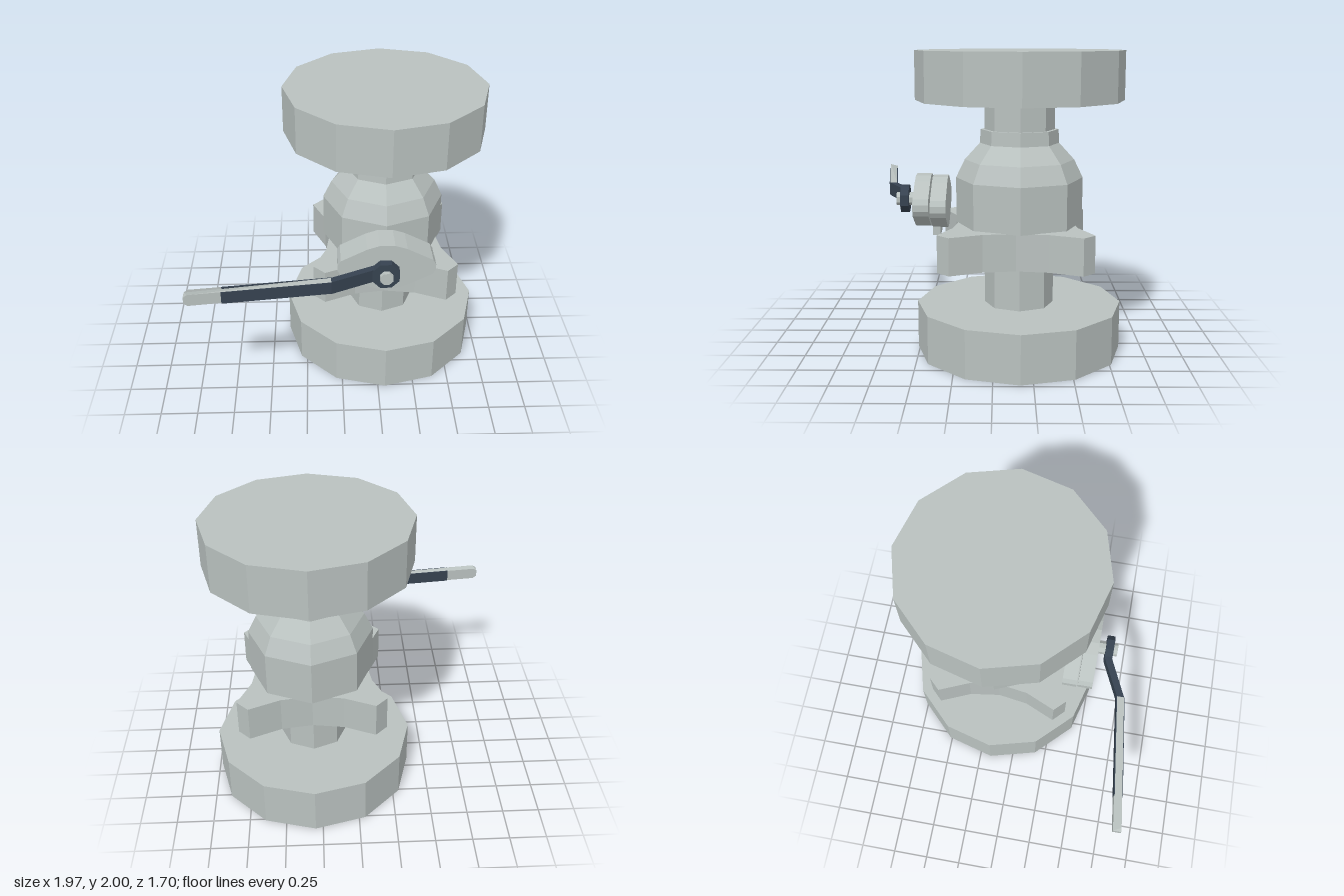
import * as THREE from 'three';

const steel = new THREE.MeshStandardMaterial({ color: 0xb9c1bf });
steel.name = 'pale steel';
const grip = new THREE.MeshStandardMaterial({ color: 0x364250 });
grip.name = 'dark blue grip';

const CX = 0.3, CZ = -0.17; // pipe axis

// faceted normals baked into the geometry
function facet(geo) {
  const g = geo.index ? geo.toNonIndexed() : geo;
  g.computeVertexNormals();
  return g;
}

// faceted solid of revolution about the pipe axis, profile of [radius, y]
function turned(profile, sides) {
  const g = new THREE.LatheGeometry(profile.map(p => new THREE.Vector2(p[0], p[1])), sides);
  return facet(g.translate(CX, 0, CZ));
}

function extrude(points, depth) {
  const shape = new THREE.Shape(points.map(p => new THREE.Vector2(p[0], p[1])));
  return new THREE.ExtrudeGeometry(shape, { depth, bevelEnabled: false });
}

// outline in [x, z], raised from y0 to y1
function slab(points, y0, y1) {
  return extrude(points, y1 - y0).rotateX(Math.PI / 2).translate(0, y1, 0);
}

// short cylinder along z
function disc(r, sides, x, y, z0, z1) {
  const g = new THREE.CylinderGeometry(r, r, z1 - z0, sides);
  g.rotateY(Math.PI / sides).rotateX(Math.PI / 2).translate(x, y, (z0 + z1) / 2);
  return facet(g);
}

export function createModel() {
  const model = new THREE.Group();
  model.name = 'ballValve';
  const add = (name, geo, mat = steel) => {
    const mesh = new THREE.Mesh(geo, mat);
    mesh.name = name;
    model.add(mesh);
  };

  // end flanges
  for (const [name, y0, y1] of [['bottomFlange', 0, 0.32], ['topFlange', 1.68, 2]]) {
    add(name, turned([[0, y0], [0.683, y0], [0.683, y1], [0, y1]], 12));
  }

  // pipe necks and domed body
  add('lowerNeck', turned([[0.23, 0.31], [0.23, 0.64]], 8));
  add('upperNeck', turned([[0.23, 1.48], [0.23, 1.69]], 8));
  add('body', turned([[0, 0.87], [0.418, 0.87], [0.418, 1.17], [0.36, 1.29],
    [0.26, 1.4], [0.255, 1.49], [0, 1.49]], 8));

  // four-cornered clamp plate with hollowed sides
  const h = 0.493, c = 0.415, hollow = 0.12;
  const outline = [];
  for (let i = 0; i < 4; i++) {
    const a = i * Math.PI / 2, cos = Math.cos(a), sin = Math.sin(a);
    for (const t of [-1, -0.5, 0, 0.5, 1]) {
      const px = h - hollow * (1 - t * t), py = c * t;
      outline.push([CX + px * cos - py * sin, -0.143 + px * sin + py * cos]);
    }
  }
  add('clampPlate', slab(outline, 0.63, 0.872));

  // pair of eye-shaped gland plates
  const quarter = [[0.32, 0.02], [0.3, 0.055], [0.13, 0.142], [0.05, 0.168]];
  const eye = [
    ...quarter,
    ...quarter.map(([x, y]) => [-x, y]).reverse(),
    ...quarter.map(([x, y]) => [-x, -y]),
    ...quarter.map(([x, y]) => [x, -y]).reverse(),
  ];
  add('rearGlandPlate', extrude(eye, 0.1).translate(0.285, 1.008, 0.3));
  add('frontGlandPlate', extrude(eye, 0.1).translate(0.285, 1.018, 0.41));
  add('glandTab', new THREE.BoxGeometry(0.175, 0.1, 0.05).translate(0.272, 0.84, 0.375));

  // stem, lever hub and end nut
  add('stem', disc(0.045, 8, 0.275, 1.02, 0.39, 0.57));
  add('leverHub', disc(0.095, 8, 0.272, 1.022, 0.56, 0.615), grip);
  add('stemNut', disc(0.045, 8, 0.275, 1.02, 0.6, 0.645));

  // cranked lever: dark inner arm, pale outer arm with a chamfered tip
  add('leverCrank', slab([[0.25, 0.56], [0.25, 0.612], [0.19, 0.612], [-0.08, 0.735],
    [-0.08, 0.685], [0.19, 0.56]], 0.98, 1.07), grip);
  const arm = slab([[-0.08, 0.685], [-0.08, 0.735], [-0.965, 0.843], [-0.99, 0.846],
    [-0.99, 0.79], [-0.965, 0.787]], 0.988, 1.07);
  const pos = arm.attributes.position;
  for (let i = 0; i < pos.count; i++) {
    if (pos.getX(i) < -0.98) pos.setY(i, 1.029 + (pos.getY(i) - 1.029) * 0.55);
  }
  arm.computeVertexNormals();
  add('leverArm', arm);

  // dark coating on the lever's front and back faces
  for (const [name, zIn, zOut] of [['frontCoating', 0.733, 0.816], ['backCoating', 0.681, 0.762]]) {
    add(name, slab([[-0.08, zIn], [-0.08, zIn + 0.006], [-0.76, zOut + 0.006], [-0.76, zOut]],
      0.985, 1.07), grip);
  }
  return model;
}
